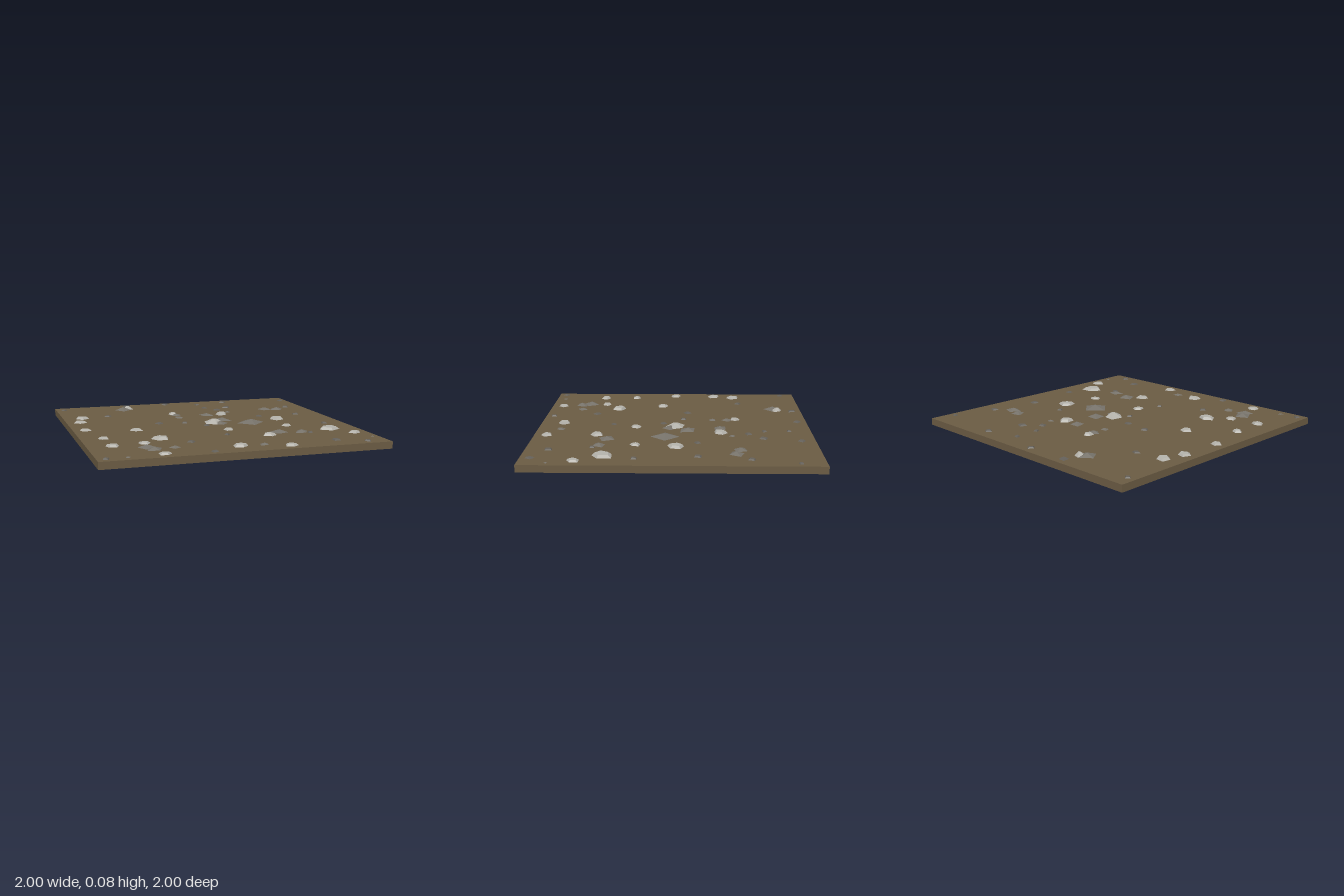
import * as THREE from 'three';

const GROUND = 0.05;
const colour = (name, hex) => {
  const m = new THREE.MeshStandardMaterial({ color: hex });
  m.name = name;
  return m;
};

// Rows of x, z, radius, height
const PALE = [
  [-0.86, -0.48, 0.052, 0.014], [-0.9, -0.32, 0.05, 0.012], [-0.91, 0, 0.042, 0.012], [-0.56, 0.1, 0.046, 0.012],
  [-0.84, 0.33, 0.036, 0.014], [-0.47, 0.45, 0.06, 0.018], [-0.83, 0.59, 0.044, 0.014], [-0.61, 0.56, 0.04, 0.012],
  [-0.56, 0.91, 0.043, 0.012], [-0.03, 0.83, 0.05, 0.016], [0.3, 0.91, 0.045, 0.012], [0.29, 0.55, 0.05, 0.015],
  [0.79, 0.46, 0.077, 0.018], [0.9, 0.64, 0.046, 0.012], [0.54, 0.26, 0.038, 0.012], [0.58, -0.02, 0.06, 0.017],
  [0.08, 0.28, 0.04, 0.012], [0.23, -0.34, 0.05, 0.018], [-0.14, -0.46, 0.036, 0.014],
];
const PEAKED = [[0.06, -0.01, 0.075, 0.03], [-0.43, -0.81, 0.042, 0.026]];
const SHARDS = [
  [0.33, 0.06, 0.105, 0.027], [0.16, -0.1, 0.07, 0.02], [0.1, 0.03, 0.06, 0.02], [0.11, -0.34, 0.058, 0.018],
  [-0.13, -0.4, 0.046, 0.016], [-0.13, -0.29, 0.034, 0.012], [0.31, -0.42, 0.026, 0.01], [0.65, -0.46, 0.055, 0.018],
  [0.74, -0.43, 0.06, 0.02], [0.39, 0.47, 0.066, 0.02], [0.55, 0.51, 0.053, 0.018], [-0.62, 0.69, 0.065, 0.022],
  [-0.59, 0.76, 0.058, 0.02], [-0.45, 0.74, 0.042, 0.014], [0.14, 0.83, 0.038, 0.012], [-0.47, -0.78, 0.068, 0.024],
  [-0.8, 0.93, 0.02, 0.007], [0.95, 0.81, 0.013, 0.006],
];
// Rows of x, z, radius
const PEBBLES = [
  [-0.94, -0.89, 0.024], [-0.41, -0.93, 0.036], [-0.08, -0.93, 0.031], [0.18, -0.84, 0.022], [0.43, -0.9, 0.031],
  [0.94, -0.83, 0.021], [-0.65, -0.51, 0.03], [0.19, -0.66, 0.022], [0.37, -0.64, 0.037], [0.26, -0.54, 0.03],
  [0.86, -0.52, 0.032], [0.49, -0.17, 0.025], [0.8, -0.17, 0.034], [-0.34, -0.1, 0.033], [-0.15, -0.07, 0.028],
  [-0.02, 0.08, 0.025], [0.85, 0.25, 0.027], [0.01, 0.45, 0.022], [0.6, 0.55, 0.023], [-0.3, 0.61, 0.032],
  [0.66, 0.84, 0.036], [0.85, 0.93, 0.03], [-0.24, 0.94, 0.028], [-0.94, 0.94, 0.026],
];

// Irregular, faceted stone: a tapered prism with uneven corners and a shifted top
function stone([x, z, r, h = 0.009], sides, taper, uneven, seed, material, name) {
  const geo = new THREE.CylinderGeometry(r * taper, r, h, sides, 1).toNonIndexed();
  const p = geo.attributes.position;
  for (let i = 0; i < p.count; i++) {
    const px = p.getX(i), pz = p.getZ(i);
    const k = 1 + uneven * Math.sin(2 * Math.atan2(pz, px) + seed * 1.7);
    const shift = p.getY(i) > 0 ? r * uneven * 0.6 : 0;
    p.setX(i, px * k + shift * Math.cos(seed));
    p.setZ(i, pz * k + shift * Math.sin(seed));
  }
  geo.computeVertexNormals();
  const mesh = new THREE.Mesh(geo, material);
  mesh.position.set(x, GROUND + h / 2, z);
  mesh.rotation.y = seed * 2.4;
  mesh.name = name;
  return mesh;
}

function scatter(name, rows, sides, taper, uneven, material) {
  const group = new THREE.Group();
  group.name = name + 's';
  rows.forEach((row, i) => group.add(stone(row, sides, taper, uneven, i, material, name)));
  return group;
}

export function createModel() {
  const model = new THREE.Group();
  model.name = 'stonyGround';
  const earth = colour('earth brown', 0x6a5b43);
  const pale = colour('pale stone', 0xb4b2ab);
  const grey = colour('grey stone', 0x76726a);
  const dark = colour('dark pebble', 0x65615a);

  // Flat square of earth
  const slab = new THREE.Mesh(new THREE.BoxGeometry(2, GROUND, 2), earth);
  slab.position.y = GROUND / 2;
  slab.name = 'groundSlab';
  model.add(slab);

  // Flat-topped stones, pointed stones, low shards and tiny pebbles
  model.add(scatter('paleStone', PALE, 5, 0.7, 0.12, pale));
  model.add(scatter('peakedStone', PEAKED, 5, 0.25, 0.15, pale));
  model.add(scatter('greyShard', SHARDS, 4, 0, 0.12, grey));
  model.add(scatter('pebble', PEBBLES, 4, 0.65, 0.1, dark));
  return model;
}
